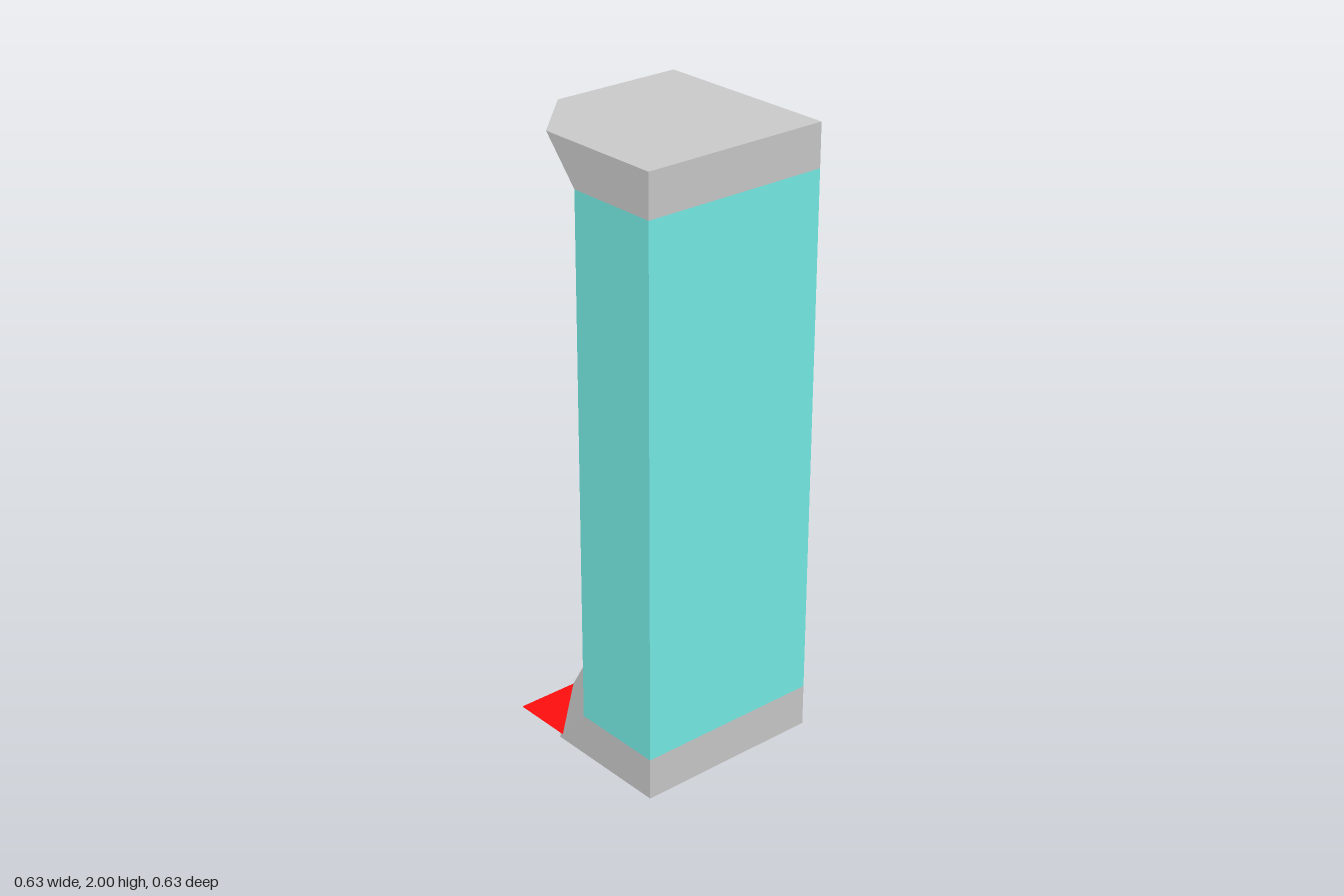
import * as THREE from 'three';

const H = 0.317;          // half width of the square column
const CAP = 0.138;        // height of each end cap
const CUT = -0.122;       // where the corner cut starts on the outer ends

// Square outline with the back corner at (-x, -z) cut off
const outline = (c) => [[H, H], [H, -H], [c, -H], [-H, c], [-H, H]];

// Loft between two cut outlines, closed at both ends
function cutPrism(y0, c0, y1, c1, softChamfer) {
  const ring = (y, c) => outline(c).map(([x, z]) => new THREE.Vector3(x, y, z));
  const a = ring(y0, c0), b = ring(y1, c1), n = a.length;
  const pts = [], soft = [];
  const tri = (...t) => t.forEach(([p, s]) => { pts.push(p); soft.push(!!s); });
  for (let i = 0; i < n; i++) {
    const j = (i + 1) % n;
    // The edge between the back and the cut is shaded softly
    const sj = i === 1, si = i === 2 && softChamfer;
    tri([a[i], si], [a[j], sj], [b[j], sj]);
    tri([a[i], si], [b[j], sj], [b[i], si]);
  }
  for (let i = 1; i < n - 1; i++) {
    tri([b[0]], [b[i]], [b[i + 1]]);
    tri([a[0]], [a[i + 1]], [a[i]]);
  }
  const geo = new THREE.BufferGeometry().setFromPoints(pts);
  geo.computeVertexNormals();
  soft.forEach((s, i) => { if (s) geo.attributes.normal.setXYZ(i, -0.383, 0, -0.924); });
  return geo;
}

export function createModel() {
  const group = new THREE.Group();
  const grey = new THREE.MeshStandardMaterial({ color: 0xcccccc });
  const teal = new THREE.MeshStandardMaterial({ color: 0x77efe9 });
  const red = new THREE.MeshStandardMaterial({ color: 0xff0e0e, side: THREE.DoubleSide });
  const add = (name, geo, mat) => {
    const mesh = new THREE.Mesh(geo, mat);
    mesh.name = name;
    group.add(mesh);
    return mesh;
  };

  // Column and its two caps, whose cut corner flares outwards
  add('column', cutPrism(CAP, 0, 2 - CAP, 0, true), teal);
  add('bottomCap', cutPrism(0, CUT, CAP, 0, false), grey);
  add('topCap', cutPrism(2 - CAP, 0, 2, CUT, false), grey);

  // Thin red triangle filling the cut corner near the ground
  const y = 0.016, c = CUT * (1 - y / CAP);
  const corner = new THREE.BufferGeometry().setFromPoints([
    new THREE.Vector3(-H, y, -H),
    new THREE.Vector3(-H, y, c),
    new THREE.Vector3(c, y, -H),
  ]);
  corner.computeVertexNormals();
  add('cornerPlate', corner, red);

  return group;
}
